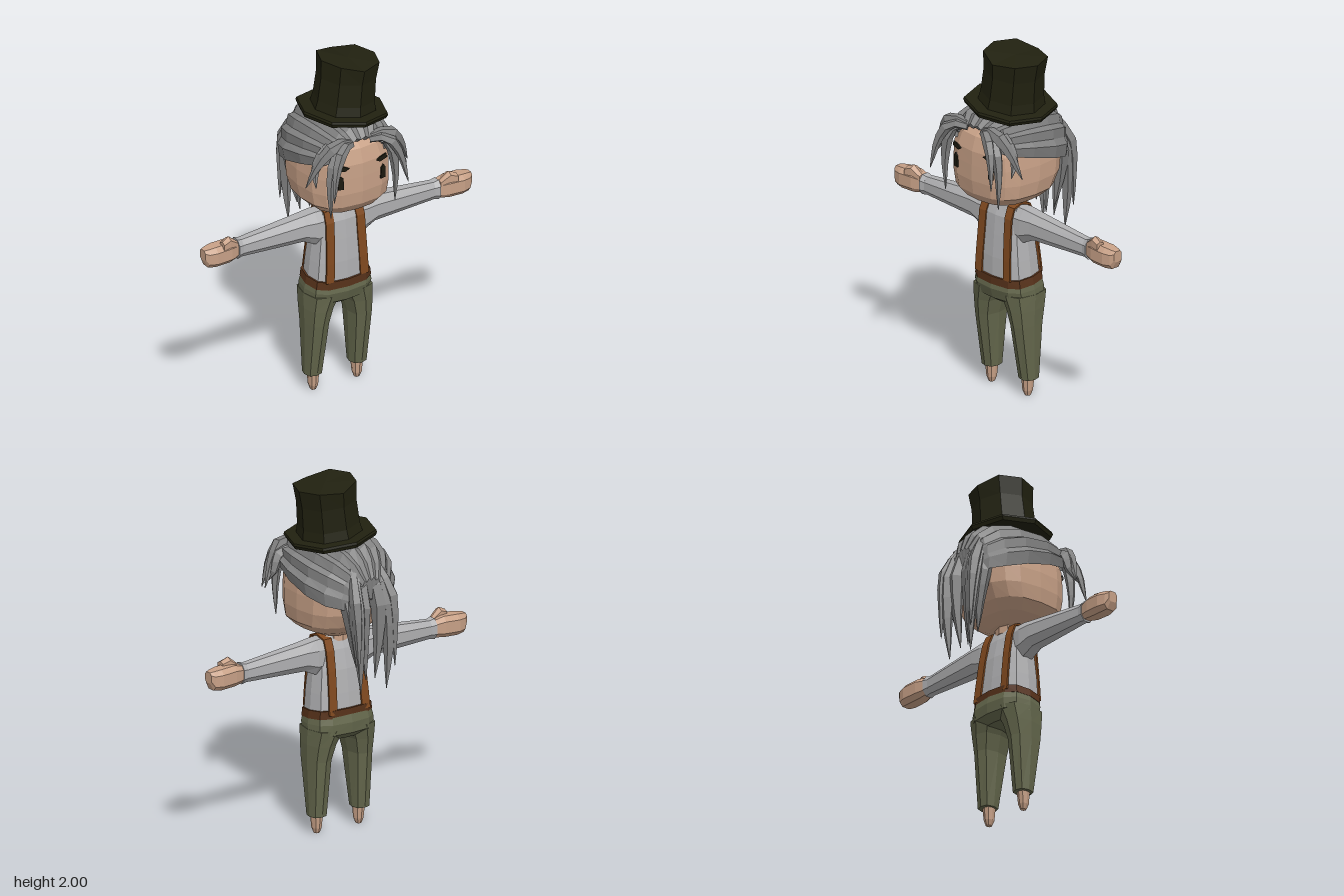
import * as THREE from 'three';

const mat = (name, color, side = THREE.FrontSide) => {
  const m = new THREE.MeshStandardMaterial({ color, flatShading: true, side });
  m.name = name;
  return m;
};
const V = (x, y, z) => new THREE.Vector3(x, y, z);

// Faceted solid through a series of closed rings, capped at both ends.
function loft(rings) {
  const pos = [];
  const tri = (a, b, c) => pos.push(...a.toArray(), ...b.toArray(), ...c.toArray());
  const n = rings[0].length;
  for (let i = 0; i < rings.length - 1; i++)
    for (let j = 0; j < n; j++) {
      const k = (j + 1) % n, a = rings[i], b = rings[i + 1];
      tri(a[j], a[k], b[k]);
      tri(a[j], b[k], b[j]);
    }
  const cap = (r, flip) => {
    const c = r.reduce((s, p) => s.add(p), V(0, 0, 0)).divideScalar(n);
    r.forEach((p, j) => (flip ? tri(c, r[(j + 1) % n], p) : tri(c, p, r[(j + 1) % n])));
  };
  cap(rings[0], true);
  cap(rings[rings.length - 1], false);
  // Turn the faces outward if the enclosed volume is negative.
  let vol = 0;
  for (let i = 0; i < pos.length; i += 9)
    vol += V(...pos.slice(i, i + 3)).dot(V(...pos.slice(i + 3, i + 6)).cross(V(...pos.slice(i + 6, i + 9))));
  if (vol < 0)
    for (let i = 0; i < pos.length; i += 9)
      for (let k = 0; k < 3; k++) [pos[i + 3 + k], pos[i + 6 + k]] = [pos[i + 6 + k], pos[i + 3 + k]];
  const g = new THREE.BufferGeometry();
  g.setAttribute('position', new THREE.Float32BufferAttribute(pos, 3));
  g.computeVertexNormals();
  return g;
}

// Rounded-square outline; p = 2 is an ellipse.
const outline = (n, p, f, turn = 0) => Array.from({ length: n }, (_, i) => {
  const a = (i / n) * Math.PI * 2 + turn, c = Math.cos(a), s = Math.sin(a);
  return f(Math.sign(c) * Math.abs(c) ** (2 / p), Math.sign(s) * Math.abs(s) ** (2 / p));
});
// Horizontal ring: height, centre x, half width, front z, back z, tilt along z.
const ringY = (n, p, y, cx, hw, zf, zb, tilt = 0) => outline(n, p, (c, s) => {
  const z = (zf + zb) / 2 + (s * (zf - zb)) / 2;
  return V(cx + c * hw, y + tilt * z, z);
});
// Upright ring across the arm: x, low y, high y, front z, back z.
const ringX = (n, p, x, y0, y1, zf, zb) => outline(n, p, (c, s) =>
  V(x, (y0 + y1) / 2 + (s * (y1 - y0)) / 2, (zf + zb) / 2 + (c * (zf - zb)) / 2), Math.PI / n);

// Pointed lock of hair along a curve.
function lock(points, width) {
  const curve = new THREE.CatmullRomCurve3(points.map(p => V(...p)));
  const N = 6, fr = curve.computeFrenetFrames(N);
  return loft(Array.from({ length: N + 1 }, (_, i) => {
    const t = i / N, r = width * (t < 0.35 ? 0.65 + t : 1.0 * ((1 - t) / 0.65) ** 0.8) + 0.002;
    const c = curve.getPointAt(t);
    return outline(5, 2, (a, b) => c.clone().addScaledVector(fr.normals[i], a * r).addScaledVector(fr.binormals[i], b * r));
  }));
}

export function createModel() {
  const root = new THREE.Group();
  root.name = 'figure';
  const skin = mat('skin', 0xc8a187), hair = mat('hair', 0x828282), shirt = mat('shirt', 0xb0b0b2);
  const trousers = mat('trousers', 0x64674c), strap = mat('strapBrown', 0x80491f), beltMat = mat('beltBrown', 0x57321a);
  const hatMat = mat('hatBlack', 0x212110), dark = mat('eyeBlack', 0x1c1a10);
  const hairShell = mat('hair', 0x828282, THREE.DoubleSide);
  const add = (name, geo, m, parent = root) => {
    const mesh = new THREE.Mesh(geo, m);
    mesh.name = name;
    parent.add(mesh);
    return mesh;
  };

  // Head and neck
  add('head', loft([
    [1.12, 0.1, 0.13, -0.07], [1.16, 0.19, 0.235, -0.14], [1.21, 0.243, 0.275, -0.195], [1.29, 0.257, 0.287, -0.235],
    [1.38, 0.258, 0.287, -0.245], [1.46, 0.25, 0.285, -0.24], [1.54, 0.22, 0.26, -0.22], [1.61, 0.14, 0.18, -0.15],
  ].map(([y, w, f, b]) => ringY(16, 2.8, y, 0, w, f, b))), skin);
  add('neck', loft([1.08, 1.15].map(y => ringY(8, 2, y, 0, 0.07, 0.06, -0.05))), skin);

  // Shirt body and belt
  add('shirtBody', loft([
    [0.66, 0.18, 0.132, -0.112], [0.8, 0.168, 0.13, -0.1], [0.93, 0.153, 0.12, -0.085],
    [1.04, 0.14, 0.11, -0.06], [1.1, 0.125, 0.085, -0.035], [1.125, 0.06, 0.05, -0.025],
  ].map(([y, w, f, b]) => ringY(12, 3, y, 0, w, f, b))), shirt);
  add('belt', loft([[0.66, 0.193], [0.705, 0.186]].map(([y, w]) => ringY(12, 3, y, 0, w, 0.142, -0.125, -0.1))), beltMat);

  // Trouser seat
  add('trouserSeat', loft([
    [0.685, 0.186, 0.136, -0.122], [0.63, 0.197, 0.147, -0.138], [0.57, 0.2, 0.13, -0.134], [0.535, 0.14, 0.08, -0.09],
  ].map(([y, w, f, b]) => ringY(12, 2.8, y, 0, w, f, b, -0.06))), trousers);

  for (const s of [1, -1]) {
    const side = s > 0 ? 'left' : 'right';
    // Trouser legs and feet
    add(side + 'TrouserLeg', loft([
      [0.6, 0.102, 0.098, 0.132, -0.128], [0.51, 0.126, 0.075, 0.118, -0.105], [0.42, 0.137, 0.062, 0.105, -0.085],
      [0.1, 0.143, 0.048, 0.05, -0.055],
    ].map(([y, x, w, f, b]) => ringY(8, 2.8, y, s * x, w, f, b))), trousers);
    add(side + 'Foot', loft([
      [0.12, 0.033, 0.038, -0.035], [0.03, 0.026, 0.03, -0.025], [0, 0.015, 0.018, -0.015],
    ].map(([y, w, f, b]) => ringY(8, 2.5, y, s * 0.14, w, f, b))), skin);

    // Sleeve, cuff, fist and thumb
    add(side + 'Sleeve', loft([
      [0.08, 0.9, 1.11, 0.095, -0.045], [0.16, 0.9, 1.108, 0.092, -0.055], [0.23, 0.935, 1.098, 0.085, -0.052],
      [0.62, 0.95, 1.06, 0.055, -0.027],
    ].map(([x, a, b, f, k]) => ringX(8, 2.3, s * x, a, b, f, k))), shirt);
    add(side + 'Cuff', loft([
      [0.615, 0.95, 1.06, 0.056, -0.028], [0.645, 0.943, 1.068, 0.063, -0.033],
    ].map(([x, a, b, f, k]) => ringX(8, 2.3, s * x, a, b, f, k))), shirt);
    add(side + 'Fist', loft([
      [0.64, 0.955, 1.055, 0.05, -0.025], [0.7, 0.945, 1.07, 0.073, -0.04],
      [0.79, 0.942, 1.066, 0.075, -0.045], [0.835, 0.947, 1.06, 0.06, -0.03], [0.855, 0.99, 1.055, 0.045, -0.015],
    ].map(([x, a, b, f, k]) => ringX(8, 3, s * x, a, b, f, k))), skin);
    add(side + 'Thumb', loft([
      [0.65, 1.02, 1.06, 0.055, 0.01], [0.705, 1.03, 1.105, 0.07, 0.01], [0.75, 1.03, 1.085, 0.075, 0.02],
    ].map(([x, a, b, f, k]) => ringX(6, 2.5, s * x, a, b, f, k))), skin);

    // Suspender running up the front, over the shoulder and down the back
    const path = [[0.11, 0.69, 0.128], [0.105, 0.8, 0.124], [0.1, 0.93, 0.115], [0.098, 1.04, 0.106], [0.096, 1.1, 0.083],
      [0.094, 1.116, 0.03], [0.094, 1.1, -0.035], [0.096, 1.04, -0.06], [0.1, 0.93, -0.081], [0.105, 0.8, -0.098], [0.11, 0.69, -0.11]];
    add(side + 'Suspender', loft(path.map(([x, y, z], i) => {
      const p = path[Math.max(i - 1, 0)], q = path[Math.min(i + 1, path.length - 1)];
      const nrm = V(0, -(q[2] - p[2]), q[1] - p[1]).normalize().multiplyScalar(0.005);
      const c = V(s * x, y, z);
      return [[-1, -1], [1, -1], [1, 1], [-1, 1]].map(([a, b]) => c.clone().add(V(a * 0.026, 0, 0)).addScaledVector(nrm, b));
    })), strap);

    // Eye and brow plates
    const plate = (name, pts, x, y, z, turn) => {
      const shape = new THREE.Shape(pts.map(([a, b]) => new THREE.Vector2(s * a, b)));
      const m = add(name, new THREE.ExtrudeGeometry(shape, { depth: 0.008, bevelEnabled: false }), dark);
      m.position.set(s * x, y, z);
      m.rotation.y = s * turn;
    };
    plate(side + 'Eye', [[-0.016, -0.04], [0.016, -0.04], [0.018, 0.02], [0.004, 0.042], [-0.014, 0.025]], 0.133, 1.37, 0.27, 0.2);
    plate(side + 'Brow', [[-0.044, 0], [-0.02, -0.015], [0.035, -0.008], [0.03, 0.018], [-0.015, 0.013]], 0.128, 1.453, 0.271, 0.25);

    // Front locks, falling outward from the parting
    [
      [[[0.07, 1.59, 0.25], [0.17, 1.6, 0.27], [0.25, 1.52, 0.25], [0.325, 1.37, 0.22]], 0.036],
      [[[0.06, 1.58, 0.26], [0.14, 1.59, 0.31], [0.2, 1.5, 0.34], [0.237, 1.32, 0.37]], 0.03],
      [[[0.09, 1.58, 0.24], [0.17, 1.54, 0.275], [0.207, 1.4, 0.285], [0.205, 1.18, 0.285]], 0.03],
      [[[0.15, 1.58, 0.2], [0.23, 1.54, 0.23], [0.265, 1.46, 0.22], [0.29, 1.38, 0.27]], 0.036],
    ].forEach(([p, w], i) => add(side + 'FrontLock' + (i + 1), lock(p.map(([x, y, z]) => [s * x, y, z]), w), hair));

    // Long locks hanging behind the head
    [
      [[[0.06, 1.56, -0.22], [0.1, 1.42, -0.3], [0.1, 1.18, -0.335], [0.085, 0.87, -0.33]], 0.05],
      [[[0.03, 1.54, -0.23], [0.05, 1.4, -0.3], [0.05, 1.2, -0.31], [0.03, 0.93, -0.3]], 0.046],
      [[[0.13, 1.5, -0.2], [0.12, 1.38, -0.26], [0.1, 1.2, -0.275], [0.07, 1.0, -0.265]], 0.046],
      [[[0.08, 1.56, -0.24], [0.12, 1.4, -0.33], [0.12, 1.2, -0.355], [0.12, 1.0, -0.36]], 0.034],
    ].forEach(([p, w], i) => add(side + 'BackLock' + (i + 1), lock(p.map(([x, y, z]) => [s * x, y, z]), w), hair));
  }

  // Swept-back hair: ridged arches running from the forehead to the nape
  const arches = [
    [0.2, 0.16, 1.55, 1.46], [0.27, 0.17, 1.6, 1.5], [0.22, 0.235, 1.65, 1.475], [0.08, 0.275, 1.68, 1.44],
    [-0.08, 0.278, 1.68, 1.395], [-0.2, 0.235, 1.65, 1.36], [-0.27, 0.17, 1.59, 1.345], [-0.31, 0.1, 1.5, 1.34], [-0.3, 0.03, 1.38, 1.34],
  ];
  const U = 20, pos = [], idx = [];
  arches.forEach(([z, w, top, low], i) => {
    for (let j = 0; j <= U; j++) {
      const u = (j / U - 0.5) * Math.PI, k = j % 2 ? 1.03 : 0.965;
      pos.push(w * k * Math.sin(u), low + (top - low) * k * Math.cos(u) ** 0.8 + (j % 2 ? 0.008 : 0), z);
      if (i && j) {
        const d = i * (U + 1) + j, c = d - 1, b = d - U - 1, a = b - 1;
        idx.push(a, b, d, a, d, c);
      }
    }
  });
  const cap = new THREE.BufferGeometry();
  cap.setAttribute('position', new THREE.Float32BufferAttribute(pos, 3));
  cap.setIndex(idx);
  cap.computeVertexNormals();
  add('sweptHair', cap, hairShell);

  // Tilted top hat with a dented crown
  const hat = new THREE.Group();
  hat.name = 'topHat';
  hat.position.set(0.03, 1.675, 0.025);
  hat.rotation.z = -0.11;
  root.add(hat);
  add('hatBrim', loft([[-0.015, 0.238], [0.005, 0.247], [0.018, 0.243]].map(([y, r]) => ringY(8, 2.25, y, 0, r, r, -r))), hatMat, hat);
  add('hatCrown', loft([[0, 0.182], [0.07, 0.168], [0.2, 0.162], [0.29, 0.172]].map(([y, r], i) => {
    const ring = ringY(8, 2.15, y, 0.006, r, r, -r);
    if (i === 3) ring.forEach(p => { p.y += p.x < -0.05 ? 0.018 : p.x > 0.05 ? 0.012 : -0.004; });
    return ring;
  })), hatMat, hat);
  return root;
}
